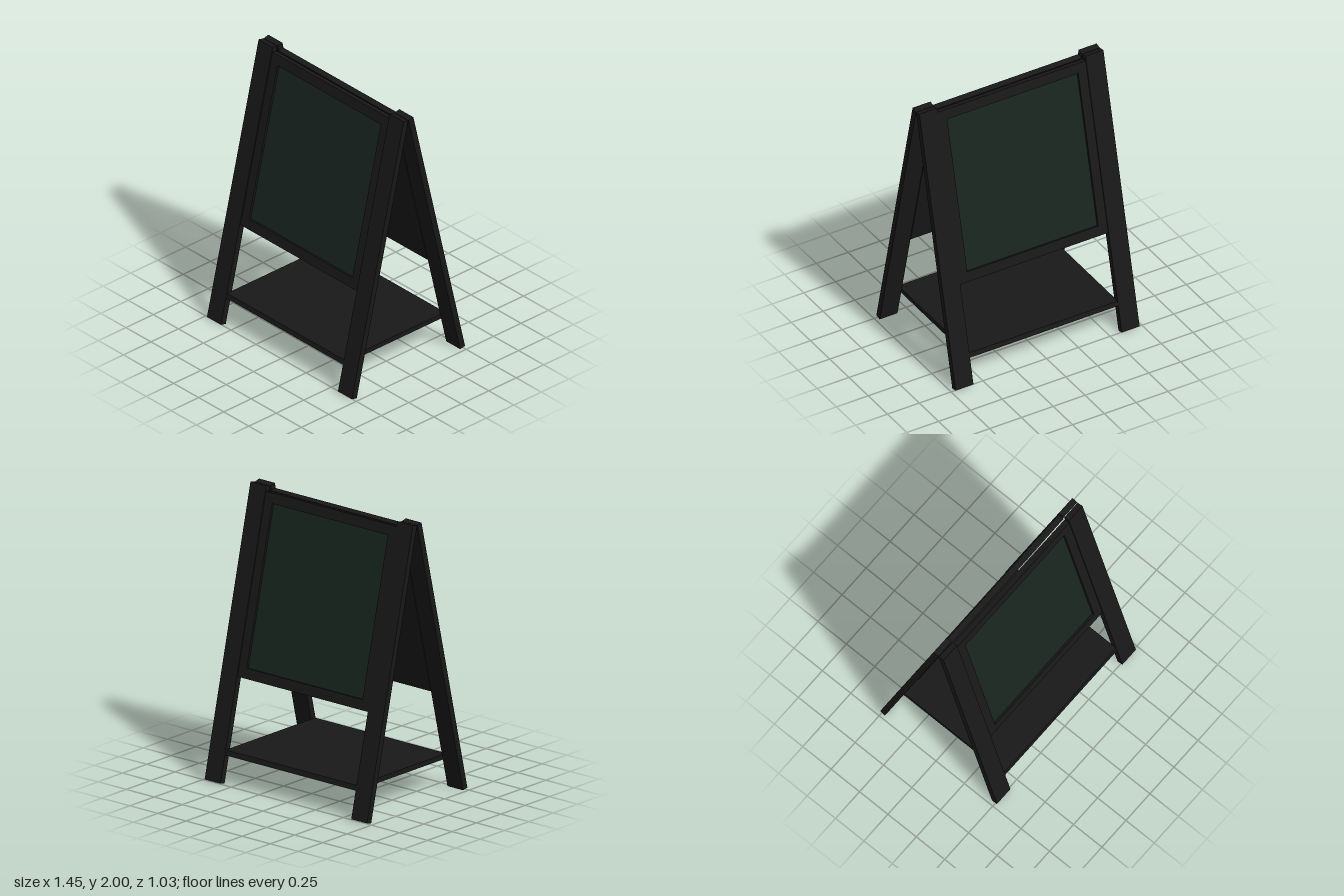
import * as THREE from 'three';

const black = new THREE.MeshStandardMaterial({ color: 0x181818 });
const slate = new THREE.MeshStandardMaterial({ color: 0x18251f });

const TILT = Math.atan2(0.47, 1.99);
const LEG = { x: 0.653, w: 0.14, len: 2.045, t: 0.044 };

function add(parent, name, geometry, material, x = 0, y = 0, z = 0) {
  const mesh = new THREE.Mesh(geometry, material);
  mesh.name = name;
  mesh.position.set(x, y, z);
  parent.add(mesh);
  return mesh;
}

function rectPoints(w, h) {
  return [[-w, -h], [w, -h], [w, h], [-w, h]].map(([x, y]) => new THREE.Vector2(x, y));
}

// One leaning side of the stand: two legs and a framed board, in the leaning plane
function createSide(name) {
  const side = new THREE.Group();
  side.name = name;
  for (const s of [-1, 1]) {
    add(side, s > 0 ? 'leftLeg' : 'rightLeg',
      new THREE.BoxGeometry(LEG.w, LEG.len, LEG.t), black, s * LEG.x);
  }

  // Raised frame around the writing surface
  const outline = new THREE.Shape(rectPoints(0.585, 0.637));
  outline.holes.push(new THREE.Path(rectPoints(0.515, 0.565).reverse()));
  const frame = new THREE.ExtrudeGeometry(outline, { depth: 0.026, bevelEnabled: false });
  add(side, 'boardFrame', frame, black, 0, 0.35, -0.011);

  // Solid back and recessed writing surface
  add(side, 'boardBacking', new THREE.BoxGeometry(1.17, 1.274, 0.017), black, 0, 0.35, -0.0195);
  add(side, 'writingSurface', new THREE.BoxGeometry(1.03, 1.13, 0.01), slate, 0, 0.35, -0.007);

  side.position.set(0, 1, 0.258);
  side.rotation.x = -TILT;
  return side;
}

export function createModel() {
  const model = new THREE.Group();
  model.name = 'foldingBoardStand';

  // Front side, and the same side turned round for the back
  model.add(createSide('frontSide'));
  const back = new THREE.Group();
  back.name = 'back';
  back.add(createSide('backSide'));
  back.rotation.y = Math.PI;
  model.add(back);

  // Shelf between the legs, its long edges following the lean
  const shelfProfile = new THREE.Shape([
    new THREE.Vector2(-0.467, 0.2), new THREE.Vector2(0.467, 0.2),
    new THREE.Vector2(0.459, 0.235), new THREE.Vector2(-0.459, 0.235),
  ]);
  const shelf = new THREE.ExtrudeGeometry(shelfProfile, { depth: 1.17, bevelEnabled: false });
  shelf.translate(0, 0, -0.585).rotateY(Math.PI / 2);
  add(model, 'shelf', shelf, black);

  return model;
}
